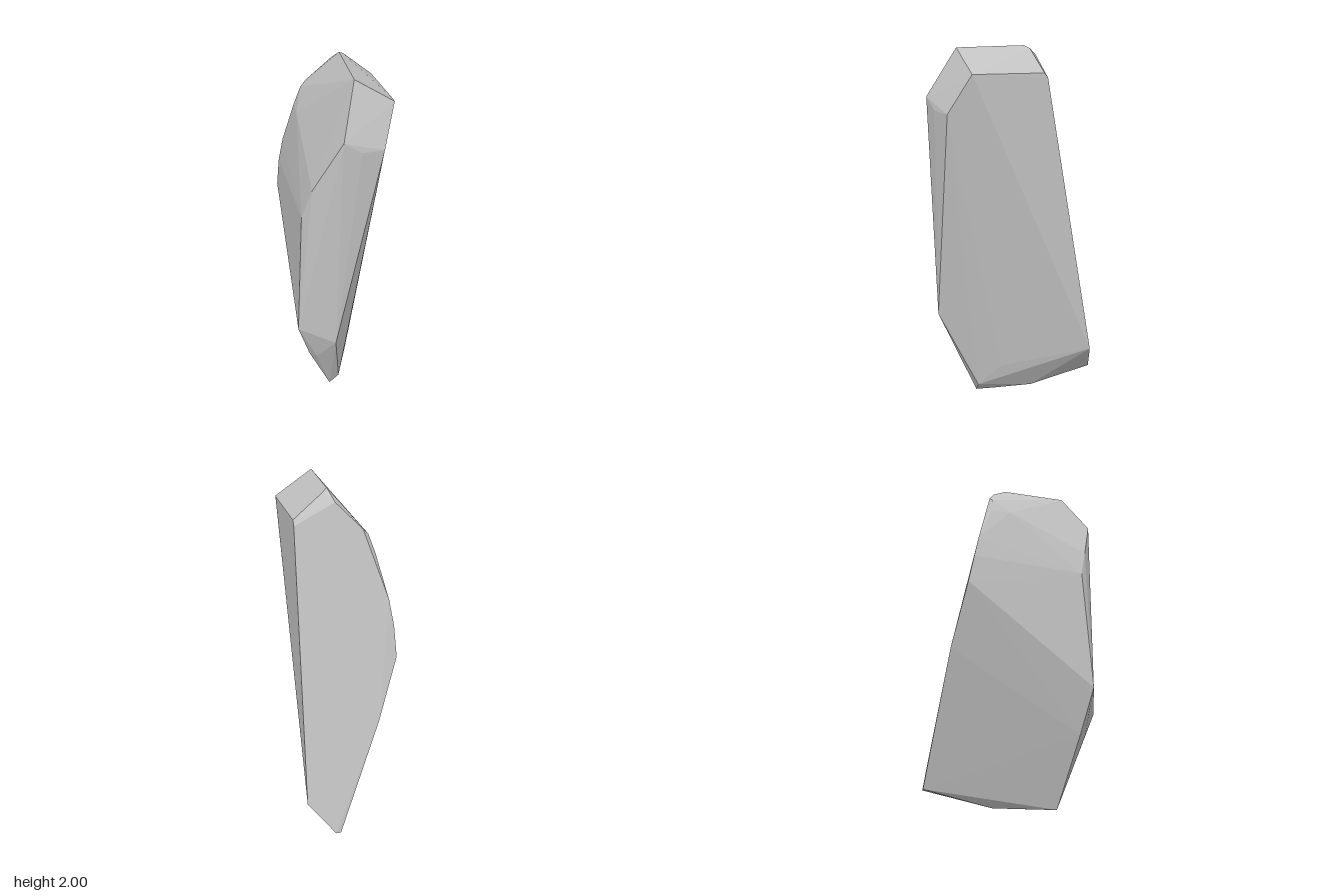
import * as THREE from 'three';
import { ConvexGeometry } from 'three/addons/geometries/ConvexGeometry.js';

// Corner points of the stone, grouped by region
const crown = [
  [0.06, 1.99, 0.32], [0.055, 2.0, -0.05], [0.08, 1.985, -0.075],
  [0.03, 1.95, -0.13], [0.0, 1.92, -0.135],
  [0.26, 1.865, 0.3], [0.26, 1.865, 0.27], [0.232, 1.865, -0.095], [0.232, 1.84, -0.115],
];
const frontEdge = [
  [-0.01, 1.745, 0.465], [0.08, 1.68, 0.447], [0.195, 1.67, 0.412],
  [-0.15, 1.47, 0.39], [-0.2, 1.3, 0.35],
  [-0.235, 0.6, 0.375], [-0.035, 0.52, 0.43], [-0.17, 0.36, 0.31], [-0.13, 0.36, 0.345],
];
const backEdge = [
  [-0.1, 1.82, -0.175], [-0.13, 1.79, -0.16], [-0.167, 1.69, -0.17], [-0.165, 1.69, -0.06],
  [-0.225, 1.46, -0.25], [-0.25, 1.32, -0.275], [-0.263, 1.15, -0.305], [-0.16, 0.8, -0.375],
];
const foot = [
  [-0.035, 0, 0.21], [0.02, 0.06, 0.215], [0.045, 0.012, -0.11], [0.0, 0.005, 0.08],
  [0.085, 0.19, 0.09], [0.175, 0.3, -0.16],
  [0.25, 0.29, -0.397], [0.1, 0.1, -0.467], [0.07, 0.1, -0.465],
];

export function createModel() {
  const group = new THREE.Group();
  group.name = 'standingStone';

  const stoneGrey = new THREE.MeshStandardMaterial({ color: 0xc2c2c2 });
  stoneGrey.name = 'stoneGrey';

  // Faceted boulder wrapped around the corner points
  const points = [...crown, ...frontEdge, ...backEdge, ...foot].map((p) => new THREE.Vector3(...p));
  const stone = new THREE.Mesh(new ConvexGeometry(points), stoneGrey);
  stone.name = 'stone';
  group.add(stone);
  return group;
}
